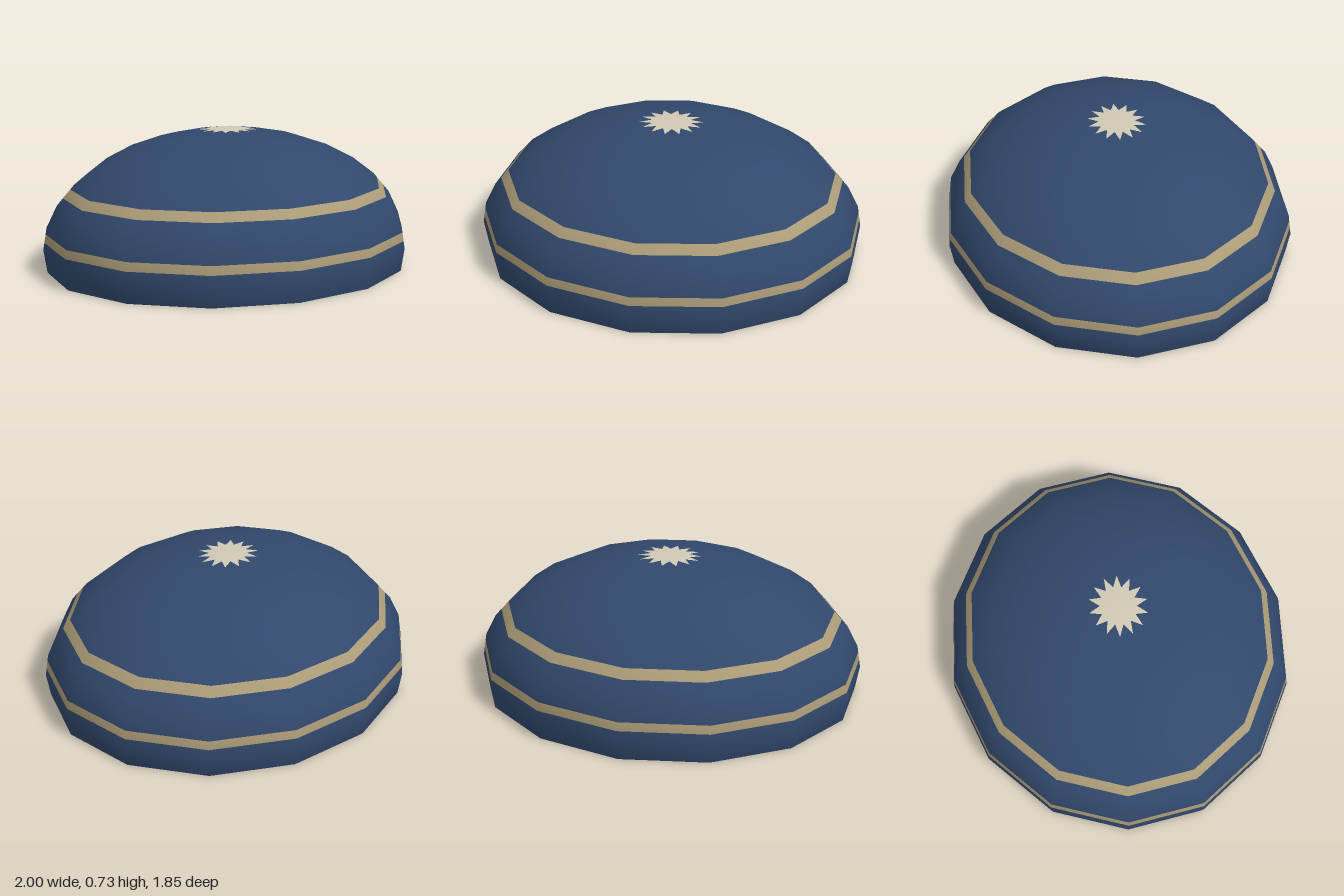
import * as THREE from 'three';

const SIDES = 14;
const RX = 1.0257, RZ = 0.925, RY = 0.61, CY = 0.12; // ellipsoid radii and centre height

export function createModel() {
  const model = new THREE.Group();
  model.name = 'dome';

  const mat = (name, color) => {
    const m = new THREE.MeshStandardMaterial({ color, side: THREE.DoubleSide });
    m.name = name;
    return m;
  };
  const navy = mat('navy', 0x31486c);
  const gold = mat('gold', 0xab9b77);
  const cream = mat('cream', 0xd0c9b5);

  // Profile: sphere rings, with extra rings where the bands begin and end
  const profile = [];
  for (let i = -1; i <= 8; i++) {
    const a = (i * Math.PI) / 16;
    profile.push(new THREE.Vector2(i === 8 ? 0 : Math.cos(a), CY + RY * Math.sin(a)));
  }
  const bands = [[0.16, 0.205], [0.39, 0.435]];
  for (const y of bands.flat()) {
    const k = profile.findIndex((p) => p.y > y);
    const a = profile[k - 1], b = profile[k];
    profile.splice(k, 0, a.clone().lerp(b, (y - a.y) / (b.y - a.y)));
  }

  // Faceted shell with smooth ellipsoid normals
  const shell = new THREE.LatheGeometry(profile, SIDES);
  shell.scale(RX, 1, RZ);
  const pos = shell.attributes.position, nor = shell.attributes.normal;
  const n = new THREE.Vector3();
  for (let i = 0; i < pos.count; i++) {
    n.set(pos.getX(i) / RX ** 2, (pos.getY(i) - CY) / RY ** 2, pos.getZ(i) / RZ ** 2).normalize();
    nor.setXYZ(i, n.x, n.y, n.z);
  }

  // Cut the rows of the shell between two heights into one part
  const addRows = (name, y0, y1, material) => {
    const index = [];
    const src = shell.index.array;
    for (let t = 0; t < src.length; t += 3) {
      const tri = [src[t], src[t + 1], src[t + 2]];
      const y = tri.reduce((s, v) => s + pos.getY(v), 0) / 3;
      if (y > y0 && y < y1) index.push(...tri);
    }
    const g = new THREE.BufferGeometry();
    g.setAttribute('position', pos);
    g.setAttribute('normal', nor);
    g.setIndex(index);
    const mesh = new THREE.Mesh(g, material);
    mesh.name = name;
    model.add(mesh);
  };
  addRows('lowerShell', -1, bands[0][0], navy);
  addRows('lowerBand', ...bands[0], gold);
  addRows('middleShell', bands[0][1], bands[1][0], navy);
  addRows('upperBand', ...bands[1], gold);
  addRows('upperShell', bands[1][1], 1, navy);

  // Pointed star lying just above the crown, its tips along the shell ridges
  const verts = [0, CY + RY + 0.004, 0], index = [];
  const count = SIDES * 2;
  for (let i = 0; i < count; i++) {
    const a = (i * Math.PI) / SIDES;
    const r = i % 2 ? 0.102 : 0.165;
    verts.push(RX * r * Math.sin(a), CY + RY + 0.004 - 0.06 * r, RZ * r * Math.cos(a));
    index.push(0, 1 + i, 1 + ((i + 1) % count));
  }
  const starGeo = new THREE.BufferGeometry();
  starGeo.setAttribute('position', new THREE.Float32BufferAttribute(verts, 3));
  starGeo.setIndex(index);
  starGeo.computeVertexNormals();
  const star = new THREE.Mesh(starGeo, cream);
  star.name = 'crownStar';
  model.add(star);

  return model;
}
